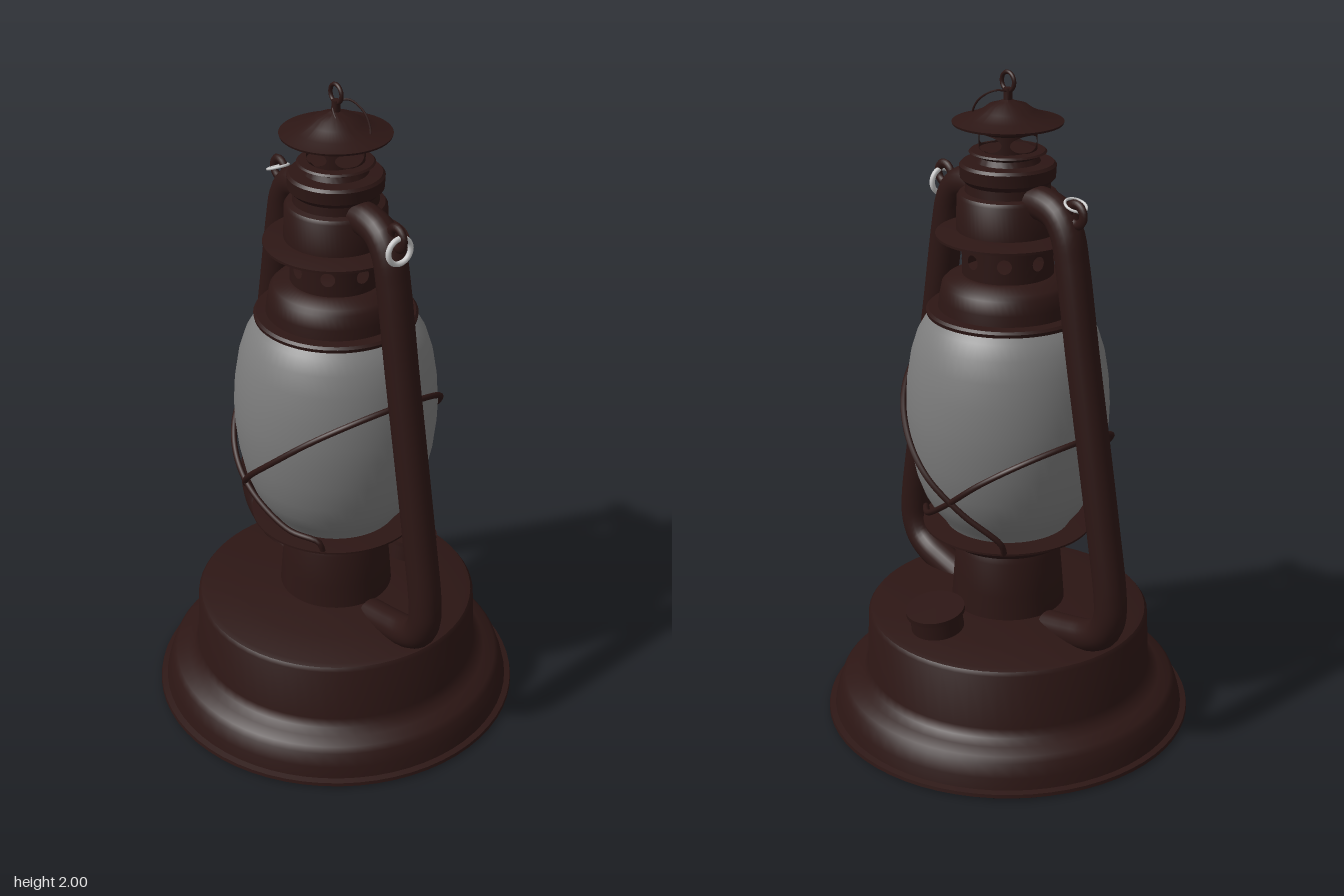
import * as THREE from 'three';
import { toCreasedNormals } from 'three/addons/utils/BufferGeometryUtils.js';

const metal = new THREE.MeshStandardMaterial({ color: 0x2c1614, side: THREE.DoubleSide });
const glass = new THREE.MeshStandardMaterial({ color: 0x7c7c7c, side: THREE.DoubleSide });
const steel = new THREE.MeshStandardMaterial({ color: 0xcccccc });

const vec = p => new THREE.Vector3(...p);

function add(parent, name, geometry, material = metal) {
  const mesh = new THREE.Mesh(geometry, material);
  mesh.name = name;
  parent.add(mesh);
  return mesh;
}

// Turned part from [radius, height] pairs, listed bottom to top
function turned(profile, crease = 0.6) {
  const points = profile.map(([r, y]) => new THREE.Vector2(r, y));
  return toCreasedNormals(new THREE.LatheGeometry(points, 64), crease);
}

function tube(points, radius, closed = false, segments = 64, sides = 12) {
  const curve = new THREE.CatmullRomCurve3(points.map(vec), closed, 'centripetal');
  return new THREE.TubeGeometry(curve, segments, radius, sides, closed);
}

// Round wall with evenly spaced oval openings, one facing the front
function perforatedWall(parent, name, radius, y0, y1, count, holeW, holeH) {
  const half = Math.PI * radius / count, h = y1 - y0, steps = 10;
  const shape = new THREE.Shape();
  shape.moveTo(-half, 0);
  for (let i = 1; i <= steps; i++) shape.lineTo(-half + 2 * half * i / steps, 0);
  for (let i = steps; i >= 0; i--) shape.lineTo(-half + 2 * half * i / steps, h);
  const hole = new THREE.Path();
  hole.absellipse(0, h / 2, holeW, holeH, 0, Math.PI * 2, true);
  shape.holes.push(hole);
  const panel = new THREE.ShapeGeometry(shape, 12);
  const pos = panel.attributes.position, nor = panel.attributes.normal;
  for (let i = 0; i < pos.count; i++) {
    const a = pos.getX(i) / radius;
    pos.setXYZ(i, radius * Math.sin(a), pos.getY(i) + y0, radius * Math.cos(a));
    nor.setXYZ(i, Math.sin(a), 0, Math.cos(a));
  }
  const wall = new THREE.Group();
  wall.name = name;
  for (let i = 0; i < count; i++) {
    add(wall, name + 'Panel', panel).rotation.y = i * 2 * Math.PI / count;
  }
  parent.add(wall);
}

export function createModel() {
  const lantern = new THREE.Group();
  lantern.name = 'lantern';

  // Fuel tank with stepped foot
  add(lantern, 'fuelTank', turned([
    [0, 0.005], [0.55, 0.005], [0.56, 0.012], [0.558, 0.022], [0.54, 0.025], [0.532, 0.06],
    [0.518, 0.1], [0.505, 0.115], [0.47, 0.125], [0.447, 0.14], [0.436, 0.165],
    [0.428, 0.335], [0.42, 0.346], [0.405, 0.35], [0.3, 0.363], [0.17, 0.378], [0, 0.378]]));

  // Burner neck and the dish that carries the globe
  add(lantern, 'burnerNeck', turned([
    [0.172, 0.37], [0.166, 0.45], [0.157, 0.555], [0.15, 0.575]]));
  add(lantern, 'globeDish', turned([
    [0, 0.573], [0.15, 0.575], [0.185, 0.59], [0.215, 0.612], [0.225, 0.628], [0.255, 0.635],
    [0.255, 0.641], [0.19, 0.645], [0, 0.645]]));

  // Globe
  add(lantern, 'globe', turned([
    [0.185, 0.64], [0.2, 0.665], [0.225, 0.695], [0.25, 0.74], [0.272, 0.8], [0.289, 0.88],
    [0.298, 0.96], [0.3, 1.02], [0.295, 1.1], [0.282, 1.18], [0.263, 1.24],
    [0.24, 1.28], [0.215, 1.305]], 1), glass);

  // Globe cap, perforated gallery and wind flange
  add(lantern, 'globeCap', turned([
    [0, 1.3], [0.235, 1.3], [0.237, 1.31], [0.23, 1.317], [0.202, 1.32], [0.198, 1.35],
    [0.19, 1.39], [0.178, 1.402], [0.135, 1.42], [0, 1.42]]));
  perforatedWall(lantern, 'gallery', 0.132, 1.42, 1.525, 8, 0.021, 0.021);
  add(lantern, 'windFlange', turned([
    [0, 1.512], [0.13, 1.512], [0.207, 1.53], [0.207, 1.537], [0.15, 1.55], [0, 1.55]]));

  // Chimney and its vented hood
  add(lantern, 'chimney', turned([
    [0.148, 1.545], [0.145, 1.645], [0.138, 1.655], [0.122, 1.66], [0.12, 1.685], [0.135, 1.7],
    [0.137, 1.735], [0.13, 1.743], [0.092, 1.745], [0.085, 1.76], [0.11, 1.772],
    [0.105, 1.777], [0.082, 1.779], [0, 1.779]]));
  perforatedWall(lantern, 'hoodVent', 0.082, 1.775, 1.835, 4, 0.053, 0.024);
  add(lantern, 'hood', turned([
    [0, 1.83], [0.085, 1.83], [0.115, 1.842], [0.155, 1.852], [0.157, 1.858], [0.115, 1.87],
    [0.075, 1.888], [0.055, 1.903], [0.025, 1.912], [0.013, 1.918], [0.012, 1.95], [0, 1.952]]));

  // Lifting ring on the hood with a loose wire loop
  const liftRing = add(lantern, 'liftRing', new THREE.TorusGeometry(0.026, 0.006, 8, 32));
  liftRing.position.y = 1.968;
  add(lantern, 'looseWire', tube([
    [-0.005, 1.935, 0.005], [0.01, 1.946, -0.035], [0.06, 1.915, -0.055],
    [0.098, 1.868, -0.042], [0.085, 1.868, -0.005], [0.035, 1.9, 0.018]], 0.003, true, 48, 6));

  // Side pipes, each with an eyelet at the shoulder
  for (const side of [1, -1]) {
    const name = side > 0 ? 'left' : 'right';
    const path = [[0.1, 1.648, 0], [0.16, 1.65, 0], [0.215, 1.632, 0], [0.25, 1.585, 0],
      [0.272, 1.5, 0], [0.318, 1.25, 0], [0.367, 1, 0], [0.415, 0.75, 0], [0.45, 0.55, 0],
      [0.45, 0.48, 0], [0.425, 0.425, 0], [0.375, 0.392, 0], [0.3, 0.37, 0], [0.19, 0.345, 0]];
    add(lantern, name + 'Pipe', tube(path.map(([x, y, z]) => [x * side, y, z]), 0.048, false, 80, 20));
    const eyelet = add(lantern, name + 'Eyelet', new THREE.TorusGeometry(0.029, 0.014, 8, 24));
    eyelet.position.set(0.283 * side, 1.65, 0);
    eyelet.scale.z = 0.7;
  }

  // Steel rings hanging in the eyelets
  const leftRing = add(lantern, 'leftRing', new THREE.TorusGeometry(0.037, 0.008, 10, 32), steel);
  leftRing.position.set(0.305, 1.622, 0.007);
  leftRing.rotation.y = Math.PI / 2;
  leftRing.rotation.z = 0.2;
  const rightRing = add(lantern, 'rightRing', new THREE.TorusGeometry(0.031, 0.004, 8, 32), steel);
  rightRing.position.set(-0.26, 1.668, 0.02);
  rightRing.rotation.set(Math.PI / 2, 0.4, 0);

  // Two wire guards looping around the globe, mirrored front to back
  const guards = {
    upperGuard: [[-0.18, 0.638, 0.17], [-0.185, 0.675, 0.185], [-0.1, 0.765, 0.26],
      [0, 0.86, 0.306], [0.1, 0.95, 0.295], [0.2, 1.045, 0.232], [0.27, 1.108, 0.13], [0.297, 1.132, 0]],
    lowerGuard: [[0.175, 0.638, 0.17], [0.17, 0.67, 0.18], [0.09, 0.695, 0.237],
      [-0.06, 0.79, 0.278], [-0.17, 0.88, 0.252], [-0.26, 0.95, 0.165], [-0.306, 0.985, 0]],
  };
  for (const [name, front] of Object.entries(guards)) {
    const back = front.slice(0, -1).reverse().map(([x, y, z]) => [x, y, -z]);
    add(lantern, name, tube([...front, ...back], 0.009, false, 100, 8));
  }

  // Filler cap at the back of the tank
  const filler = new THREE.Group();
  filler.name = 'fillerCap';
  add(filler, 'fillerNeck', new THREE.CylinderGeometry(0.077, 0.08, 0.09, 40)).position.y = -0.045;
  add(filler, 'fillerLid', new THREE.CylinderGeometry(0.088, 0.088, 0.014, 40));
  filler.position.set(0, 0.424, -0.285);
  filler.rotation.x = -0.14;
  lantern.add(filler);

  return lantern;
}
